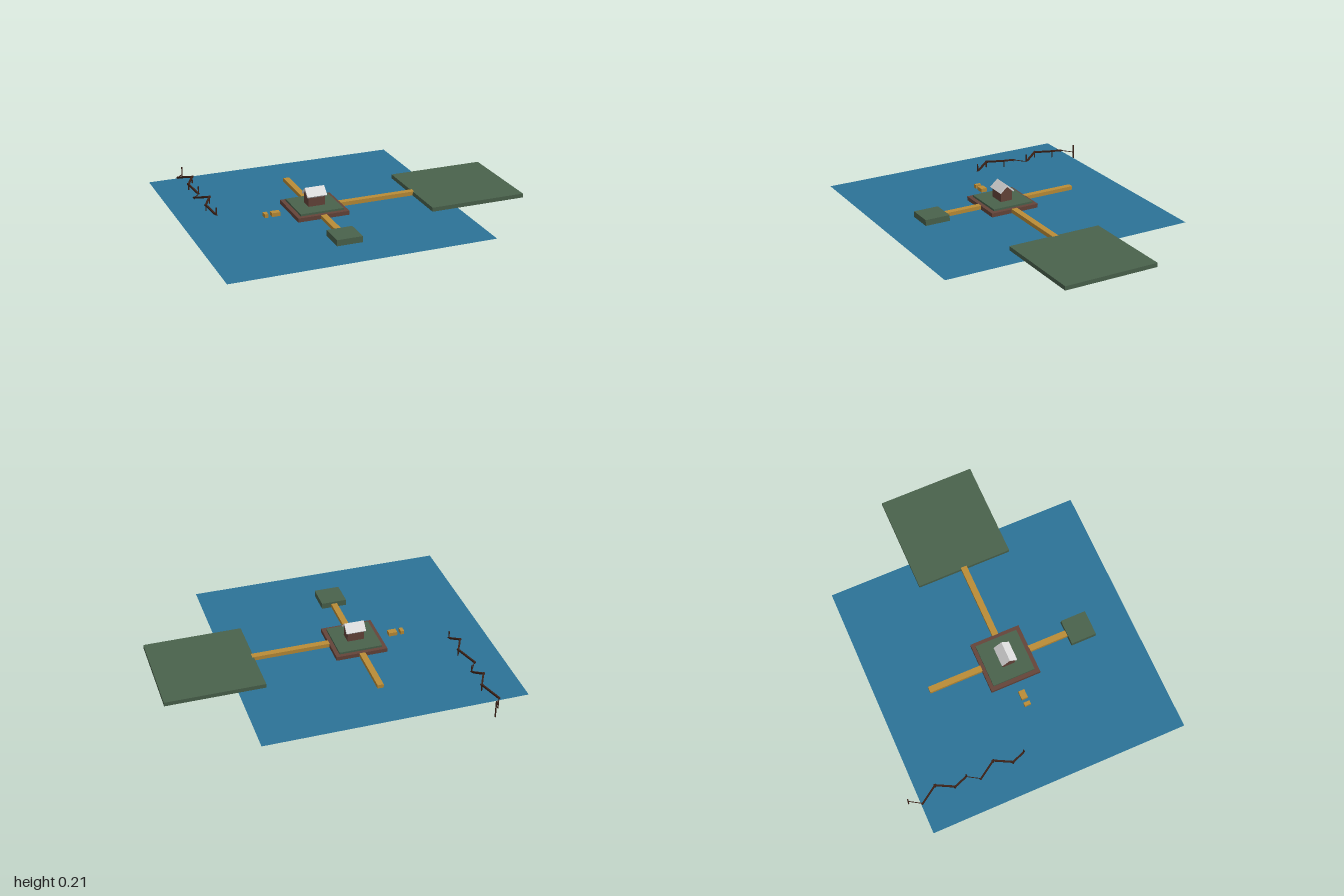
import * as THREE from 'three';

const mat = (name, color, extra = {}) => {
  const m = new THREE.MeshStandardMaterial({ color, ...extra });
  m.name = name;
  return m;
};

export function createModel() {
  const water = mat('waterBlue', 0x2c7397, { side: THREE.DoubleSide });
  const grass = mat('grassGreen', 0x4a624c);
  const brick = mat('earthBrown', 0x65443a);
  const plank = mat('plankYellow', 0xba8c37);
  const roofMat = mat('roofWhite', 0xdedede);
  const wood = mat('darkWood', 0x3b2117);

  const model = new THREE.Group();
  model.name = 'lakeHouse';
  const add = (name, geo, material) => {
    const mesh = new THREE.Mesh(geo, material);
    mesh.name = name;
    model.add(mesh);
    return mesh;
  };
  // box given by its limits on each axis
  const block = (name, material, x0, x1, y0, y1, z0, z1) =>
    add(name, new THREE.BoxGeometry(x1 - x0, y1 - y0, z1 - z0), material)
      .position.set((x0 + x1) / 2, (y0 + y1) / 2, (z0 + z1) / 2);

  // water sheet
  const sheet = add('water', new THREE.PlaneGeometry(1.57, 1.575).rotateX(-Math.PI / 2), water);
  sheet.position.set(-0.215, 0.0635, 0.032);

  // land and platforms
  block('mainland', grass, 0.405, 1, 0.065, 0.09, -0.255, 0.333);
  block('smallIsland', grass, -0.294, -0.139, 0.062, 0.1, 0.427, 0.583);
  block('platformBase', brick, -0.373, -0.058, 0.062, 0.088, -0.123, 0.188);
  block('platformLawn', grass, -0.348, -0.083, 0.061, 0.1, -0.1, 0.162);

  // walkways and loose planks
  block('backWalkway', plank, -0.235, -0.198, 0.065, 0.088, -0.452, -0.12);
  block('frontWalkway', plank, -0.235, -0.198, 0.065, 0.088, 0.185, 0.43);
  block('longWalkway', plank, -0.06, 0.415, 0.066, 0.0905, 0.019, 0.057);
  block('loosePlank', plank, -0.486, -0.434, 0.065, 0.088, 0.019, 0.057);
  block('looseStub', plank, -0.53, -0.508, 0.065, 0.088, 0.019, 0.057);

  // house walls with gables facing the sides; shape x runs along z
  const alongX = (pts, x0, x1) =>
    new THREE.ExtrudeGeometry(new THREE.Shape(pts.map(p => new THREE.Vector2(...p))), { depth: x1 - x0, bevelEnabled: false })
      .rotateY(Math.PI / 2).translate(x0, 0, 0.033);
  add('houseWalls', alongX([[-0.038, 0.1], [0.038, 0.1], [0.038, 0.163], [0, 0.195], [-0.038, 0.163]], -0.266, -0.164), brick);
  // roof as a thick folded sheet
  add('roof', alongX([[0, 0.194], [0.043, 0.155], [0.049, 0.163], [0, 0.206], [-0.049, 0.163], [-0.043, 0.155]], -0.275, -0.154), roofMat);

  // zigzag fence: two equal runs of posts joined by sloping rails
  const bar = (name, a, b, t) => {
    const d = b.clone().sub(a);
    const mesh = add(name, new THREE.BoxGeometry(t, t, d.length()), wood);
    mesh.position.copy(a).addScaledVector(d, 0.5);
    mesh.lookAt(b);
  };
  const run = [[-0.773, 0.062, -0.098], [-0.81, 0.1, -0.18], [-0.758, 0.105, -0.283], [-0.82, 0.073, -0.385], [-0.773, 0.062, -0.457]];
  for (const shift of [0, -0.36]) {
    const pts = run.map(([x, y, z]) => new THREE.Vector3(x, y, z + shift));
    pts.forEach((p, i) => {
      const top = i === 0 || i === 4 ? 0.111 : p.y + 0.005;
      block('fencePost', wood, p.x - 0.003, p.x + 0.003, 0, top, p.z - 0.003, p.z + 0.003);
      if (i < 4) {
        // last rail of each run is thinner
        const over = p.clone().sub(pts[i + 1]).setLength(i < 3 ? 0.008 : 0);
        bar('fenceRail', p.clone().add(over), pts[i + 1].clone().sub(over), i < 3 ? 0.01 : 0.004);
      }
    });
  }
  return model;
}
